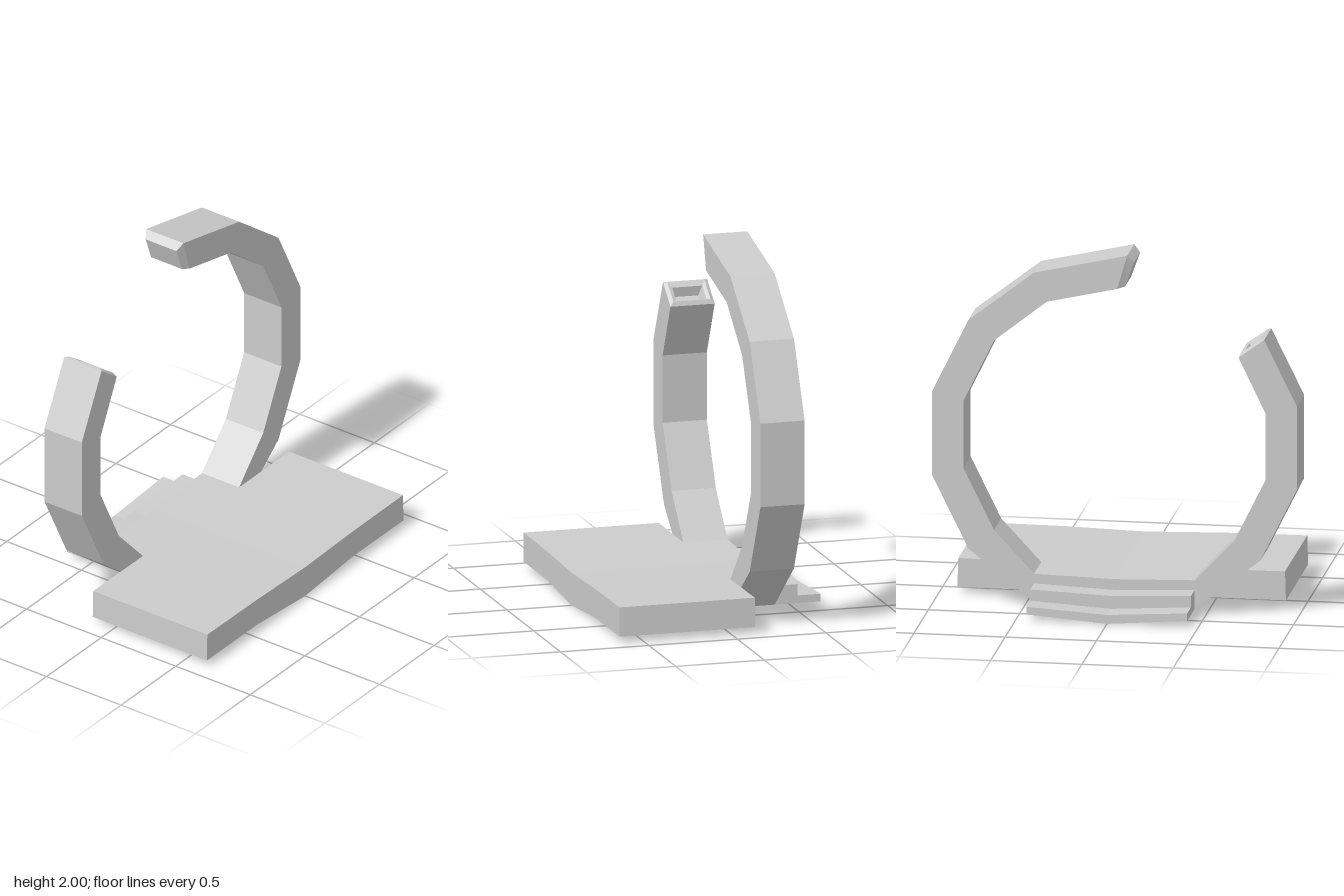
import * as THREE from 'three';

const material = new THREE.MeshStandardMaterial({ color: 0xcccccc, flatShading: true });
const Z_BACK = -0.38, Z_FRONT = -0.13;

// Rectangular tube lofted through sections [outerX, outerY, innerX, innerY, zInset]
function loft(name, sections, side) {
  const rings = sections.map(([ox, oy, ix, iy, inset = 0]) => {
    const f = Z_FRONT - inset, b = Z_BACK + inset;
    const ring = [[ox * side, oy, f], [ox * side, oy, b], [ix * side, iy, b], [ix * side, iy, f]];
    return side < 0 ? ring.reverse() : ring;
  });
  const pos = [];
  const quad = (a, b, c, d) => pos.push(...a, ...b, ...c, ...a, ...c, ...d);
  for (let i = 0; i < rings.length - 1; i++) {
    for (let j = 0; j < 4; j++) {
      const k = (j + 1) % 4;
      quad(rings[i][j], rings[i][k], rings[i + 1][k], rings[i + 1][j]);
    }
  }
  quad(...rings[0].slice().reverse());
  quad(...rings[rings.length - 1]);
  const geometry = new THREE.BufferGeometry();
  geometry.setAttribute('position', new THREE.Float32BufferAttribute(pos, 3));
  geometry.computeVertexNormals();
  const mesh = new THREE.Mesh(geometry, material);
  mesh.name = name;
  return mesh;
}

// Slab with a shallow V underside, extruded from z0 to z1
function slab(name, top, bottom, z0, z1) {
  const mirrored = (pts) => [...pts.slice(1).reverse().map(([x, y]) => [-x, y]), ...pts];
  const outline = [...mirrored(bottom), ...mirrored(top).reverse()];
  const shape = new THREE.Shape(outline.map(([x, y]) => new THREE.Vector2(x, y)));
  const geometry = new THREE.ExtrudeGeometry(shape, { depth: z1 - z0, bevelEnabled: false });
  geometry.translate(0, 0, z0);
  const mesh = new THREE.Mesh(geometry, material);
  mesh.name = name;
  return mesh;
}

export function createModel() {
  const model = new THREE.Group();
  model.name = 'brokenRingOnPlatform';

  // Platform, ring foot and the two steps behind it
  const under = [[0, 0], [0.44, 0.035]];
  model.add(
    slab('platform', [[0, 0.182], [0.44, 0.194], [0.895, 0.197]], [...under, [0.9, 0.035]], Z_FRONT, 0.635),
    slab('ringFoot', [[0, 0.182], [0.44, 0.194]], under, Z_BACK, Z_FRONT),
    slab('upperStep', [[0, 0.122], [0.44, 0.14]], under, -0.51, Z_BACK),
    slab('lowerStep', [[0, 0.05], [0.44, 0.077]], under, -0.64, -0.51),
  );

  // Lower ring segments shared by both arms
  const lower = (inset) => [
    [0.44, 0.035, 0.44, 0.194],
    [0.8, 0.32, 0.66, 0.43, inset],
    [1, 0.725, 0.827, 0.77],
    [1, 1.19, 0.827, 1.145],
  ];

  // Long arm, ending in a bevelled tip
  model.add(loft('longArm', [
    ...lower(0),
    [0.8, 1.6, 0.66, 1.49],
    [0.44, 1.88, 0.37, 1.72],
    [-0.07, 1.995, -0.015, 1.807],
    [-0.105, 1.955, -0.055, 1.817, 0.022],
  ], 1));

  // Short arm, ending in a rim around a tapered socket
  model.add(loft('shortArm', [
    ...lower(0),
    [0.82, 1.555, 0.68, 1.45],
    [0.803, 1.555, 0.69, 1.475, 0.02],
    [0.78, 1.53, 0.705, 1.476, 0.04],
    [0.79, 1.475, 0.74, 1.435, 0.06],
  ], -1));

  return model;
}
